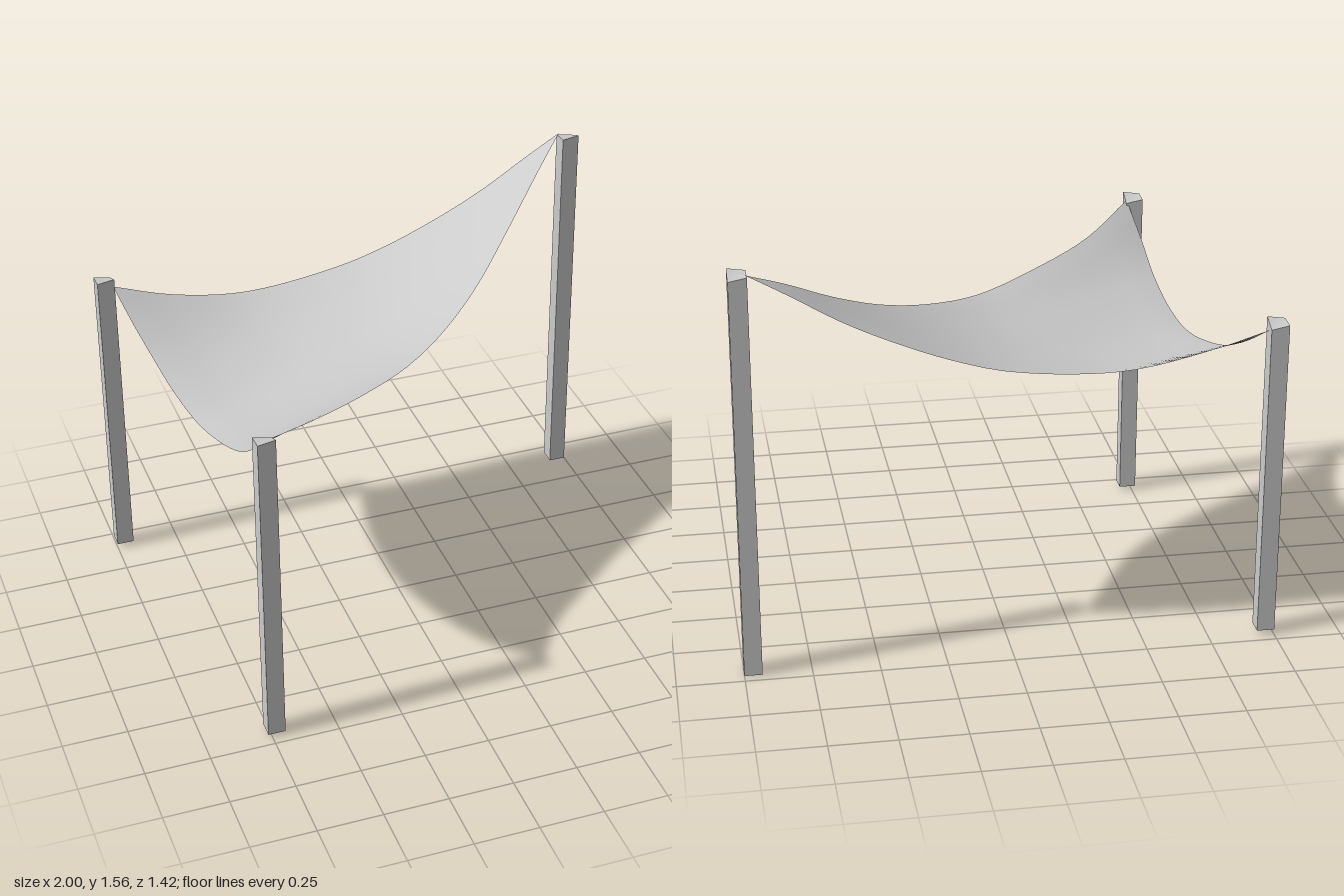
import * as THREE from 'three';

const material = new THREE.MeshStandardMaterial({ color: 0xcccccc, side: THREE.DoubleSide });

// Square post whose top is cut at a slight slant
function makePost(name, x, z, bottom, top) {
  const width = 0.067;
  const geometry = new THREE.BoxGeometry(width, top - bottom, width);
  geometry.translate(x, (top + bottom) / 2, z);
  const p = geometry.attributes.position;
  for (let i = 0; i < p.count; i++) {
    if (p.getY(i) < (top + bottom) / 2) continue;
    const inFront = p.getZ(i) > z;
    const drop = p.getX(i) < x ? (inFront ? 0.01 : 0.015) : (inFront ? 0 : 0.028);
    p.setY(i, top - drop);
  }
  geometry.computeVertexNormals();
  const mesh = new THREE.Mesh(geometry, material);
  mesh.name = name;
  return mesh;
}

const curve = (points) => new THREE.CatmullRomCurve3(points.map((p) => new THREE.Vector3(...p)));

// Sagging three-cornered cloth spanned between its three edge curves
function makeSail() {
  const a = [-0.935, 1.22, -0.67];
  const b = [-0.703, 1.295, 0.665];
  const c = [0.94, 1.552, -0.705];
  const backEdge = curve([c, [0.8, 1.472, -0.703], [0.6, 1.352, -0.7], [0.4, 1.257, -0.697],
    [0.2, 1.18, -0.694], [0, 1.127, -0.69], [-0.4, 1.095, -0.67], [-0.7, 1.145, -0.66], a]);
  const frontEdge = curve([c, [0.8, 1.468, -0.575], [0.6, 1.336, -0.39], [0.4, 1.225, -0.2],
    [0.2, 1.155, -0.03], [0, 1.125, 0.12], [-0.25, 1.15, 0.3], [-0.5, 1.205, 0.48], b]);
  const sideEdge = curve([a, [-0.9, 1.13, -0.53], [-0.865, 1.055, -0.38], [-0.835, 1.003, -0.2],
    [-0.8, 0.977, 0], [-0.772, 1.01, 0.2], [-0.752, 1.085, 0.4], [-0.74, 1.16, 0.52], b]);
  const cornerA = new THREE.Vector3(...a);
  const cornerB = new THREE.Vector3(...b);

  const n = 32;
  const positions = [];
  const indices = [];
  for (let i = 0; i <= n; i++) {
    const u = i / n;
    const back = backEdge.getPointAt(u);
    const front = frontEdge.getPointAt(u);
    for (let j = 0; j <= n; j++) {
      const t = j / n;
      // The side edge's sag fades out towards the far corner
      const sag = sideEdge.getPointAt(t).sub(cornerA.clone().lerp(cornerB, t));
      const point = back.clone().lerp(front, t).addScaledVector(sag, u ** 3);
      positions.push(point.x, point.y, point.z);
      if (i === n || j === n) continue;
      const k = i * (n + 1) + j;
      const m = k + n + 1;
      // Wound so that the upper side is the front
      if (i > 0) indices.push(k, k + 1, m);
      indices.push(k + 1, m + 1, m);
    }
  }
  // Flip the winding if the cloth came out facing down
  const geometry = new THREE.BufferGeometry();
  geometry.setAttribute('position', new THREE.Float32BufferAttribute(positions, 3));
  geometry.setIndex(indices);
  geometry.computeVertexNormals();
  const normals = geometry.attributes.normal;
  if (normals.getY(normals.count >> 1) < 0) {
    geometry.setIndex(indices.reverse());
    geometry.computeVertexNormals();
  }
  // The rows meet in a point, so that corner follows its neighbours' normals
  for (let j = 0; j <= n; j++) {
    normals.setXYZ(j, normals.getX(n + 1 + j), normals.getY(n + 1 + j), normals.getZ(n + 1 + j));
  }
  const mesh = new THREE.Mesh(geometry, material);
  mesh.name = 'shadeSail';
  return mesh;
}

export function createModel() {
  const group = new THREE.Group();
  group.name = 'shadeSailShelter';
  group.add(
    makePost('backRightPost', -0.967, -0.678, 0.02, 1.265),
    makePost('frontPost', -0.732, 0.678, 0.015, 1.315),
    makePost('backLeftPost', 0.967, -0.678, 0, 1.56),
    makeSail(),
  );
  return group;
}
